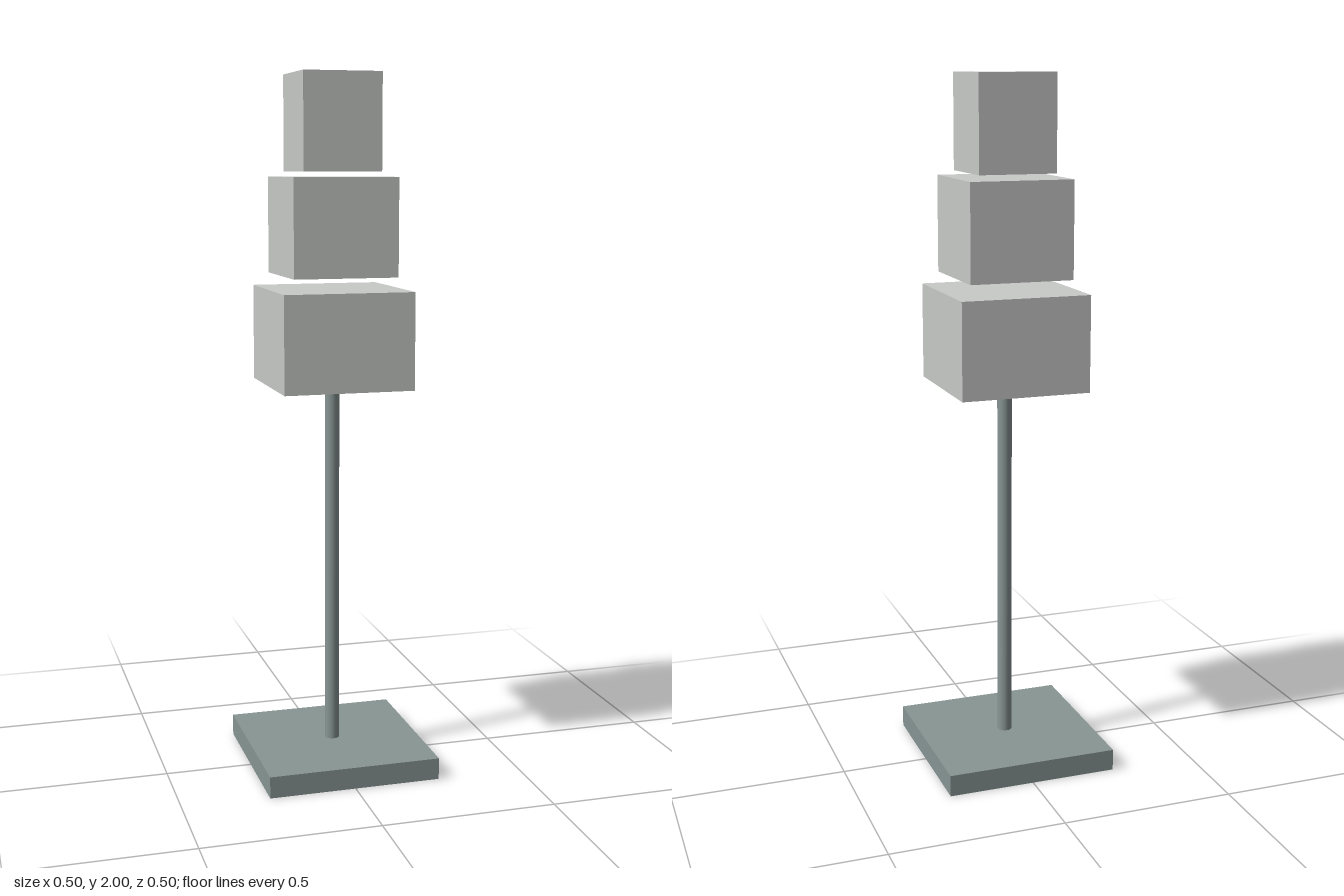
import * as THREE from 'three';

export function createModel() {
  const model = new THREE.Group();
  const shadeGrey = new THREE.MeshStandardMaterial({ color: 0xc8cac8 });
  shadeGrey.name = 'light grey shade';
  const metal = new THREE.MeshStandardMaterial({ color: 0x879593 });
  metal.name = 'grey green metal';

  const add = (name, geometry, material, y) => {
    const mesh = new THREE.Mesh(geometry, material);
    mesh.name = name;
    mesh.position.y = y;
    model.add(mesh);
  };

  // Square foot and slim round pole
  const baseHeight = 0.0625, poleTop = 1.128;
  add('base', new THREE.BoxGeometry(0.5, baseHeight, 0.5), metal, baseHeight / 2);
  const poleHeight = poleTop - baseHeight;
  add('pole', new THREE.CylinderGeometry(0.021, 0.021, poleHeight, 32), metal, baseHeight + poleHeight / 2);

  // Three stacked shade blocks, narrowing upward with small gaps: [name, width, bottom, top]
  const blocks = [
    ['lowerShade', 0.374, 1.128, 1.403],
    ['middleShade', 0.299, 1.441, 1.716],
    ['upperShade', 0.224, 1.73, 2],
  ];
  for (const [name, width, bottom, top] of blocks) {
    add(name, new THREE.BoxGeometry(width, top - bottom, width), shadeGrey, (bottom + top) / 2);
  }
  return model;
}
